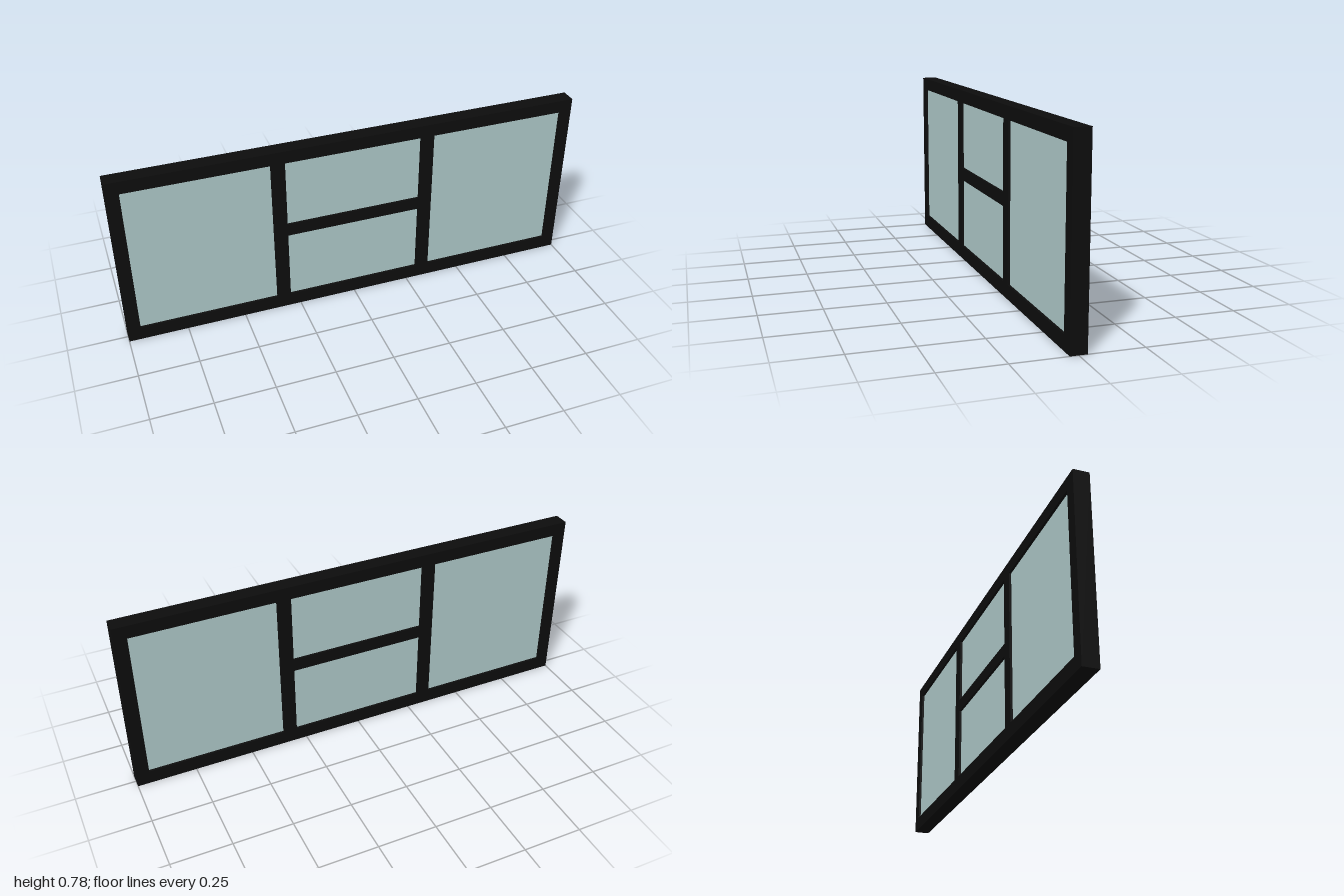
import * as THREE from 'three';

const W = 2, H = 0.776, D = 0.066;
const GLASS_DEPTH = 0.046;

// Openings as [x0, y0, x1, y1]
const OPENINGS = {
  rightPane: [-0.946, 0.06, -0.353, 0.721],
  lowerMiddlePane: [-0.294, 0.06, 0.294, 0.37],
  upperMiddlePane: [-0.294, 0.425, 0.294, 0.721],
  leftPane: [0.353, 0.06, 0.946, 0.721],
};

function trace(path, x0, y0, x1, y1) {
  path.moveTo(x0, y0);
  path.lineTo(x1, y0);
  path.lineTo(x1, y1);
  path.lineTo(x0, y1);
  path.closePath();
  return path;
}

export function createModel() {
  const group = new THREE.Group();
  group.name = 'window';

  const frameMaterial = new THREE.MeshStandardMaterial({ color: 0x0d0d0d });
  frameMaterial.name = 'black frame';
  const glassMaterial = new THREE.MeshStandardMaterial({ color: 0xb0cbcb });
  glassMaterial.name = 'pale glass';

  // Outer frame, mullions and middle rail in one piece
  const outline = trace(new THREE.Shape(), -W / 2, 0, W / 2, H);
  for (const o of Object.values(OPENINGS)) outline.holes.push(trace(new THREE.Path(), ...o));
  const frameGeometry = new THREE.ExtrudeGeometry(outline, { depth: D, bevelEnabled: false });
  frameGeometry.translate(0, 0, -D / 2);
  const frame = new THREE.Mesh(frameGeometry, frameMaterial);
  frame.name = 'frame';
  group.add(frame);

  // Glass panes, slightly recessed on both sides
  for (const [name, [x0, y0, x1, y1]] of Object.entries(OPENINGS)) {
    const pane = new THREE.Mesh(new THREE.BoxGeometry(x1 - x0, y1 - y0, GLASS_DEPTH), glassMaterial);
    pane.position.set((x0 + x1) / 2, (y0 + y1) / 2, 0);
    pane.name = name;
    group.add(pane);
  }

  return group;
}
